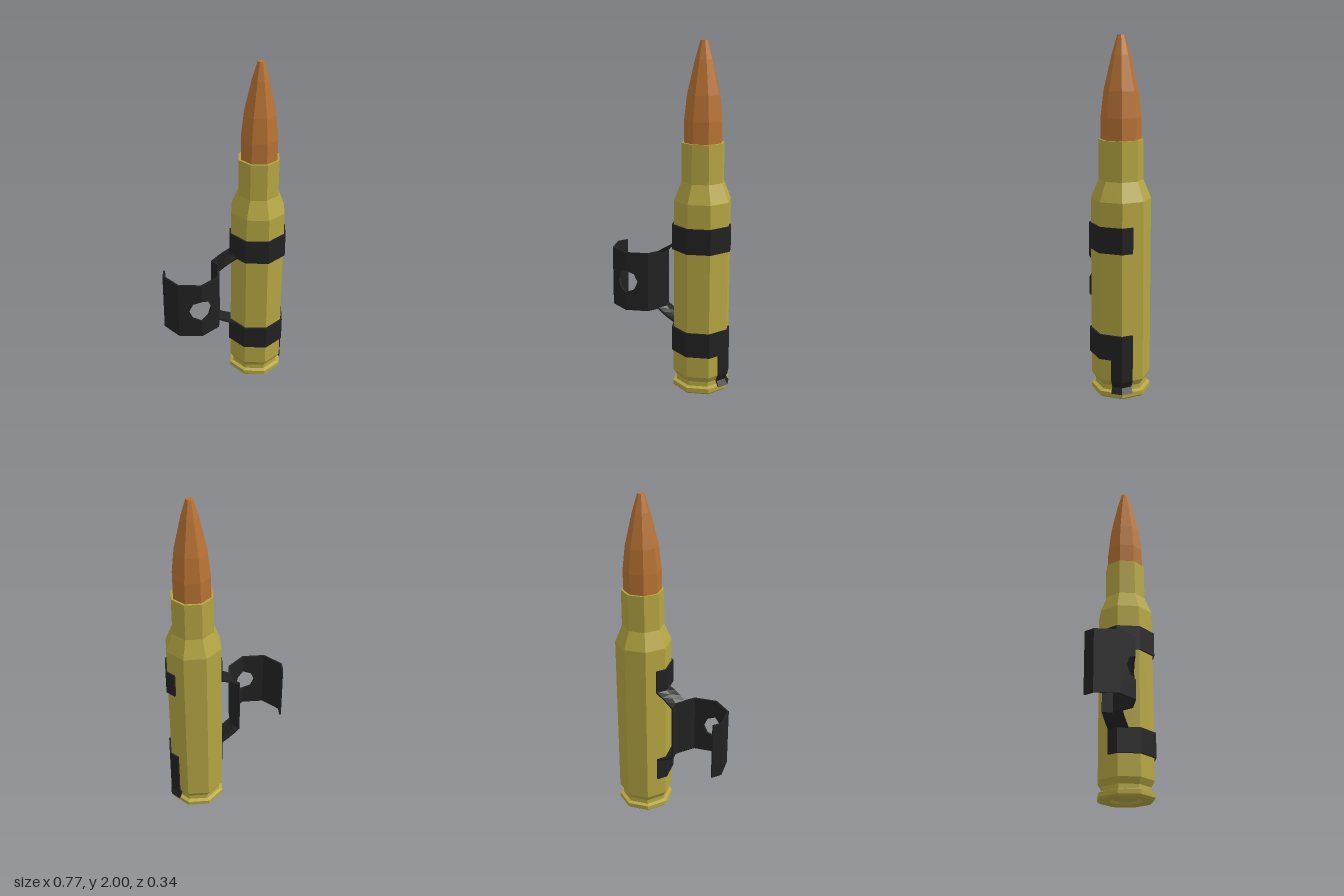
import * as THREE from 'three';

const CX = 0.207, LX = -0.208, CZ = -0.005; // cartridge axis, empty loop axis, shared depth
const OUT = 0.177, IN = 0.166;              // outer and inner radius of the clip metal

const flat = (name, color, side = THREE.FrontSide) => {
  const m = new THREE.MeshStandardMaterial({ color, flatShading: true, side });
  m.name = name;
  return m;
};

// Point on an octagon; u counts corners from the front (+z) towards +x
function oct(cx, r, u, y) {
  const k = Math.floor(u), f = u - k, a = k * Math.PI / 4, b = a + Math.PI / 4;
  return new THREE.Vector3(
    cx + r * ((1 - f) * Math.sin(a) + f * Math.sin(b)), y,
    CZ + r * ((1 - f) * Math.cos(a) + f * Math.cos(b)));
}

// Closed sheet-metal solid between two matching grids of points
function sheet(A, B) {
  const pos = [], n = A.length - 1, m = A[0].length - 1;
  const quad = (a, b, c, d) => [a, b, c, a, c, d].forEach(p => pos.push(p.x, p.y, p.z));
  for (let i = 0; i < n; i++) for (let j = 0; j < m; j++) {
    quad(A[i][j], A[i][j + 1], A[i + 1][j + 1], A[i + 1][j]);
    quad(B[i][j], B[i + 1][j], B[i + 1][j + 1], B[i][j + 1]);
  }
  for (let i = 0; i < n; i++) {
    quad(A[i][0], A[i + 1][0], B[i + 1][0], B[i][0]);
    quad(A[i + 1][m], A[i][m], B[i][m], B[i + 1][m]);
  }
  for (let j = 0; j < m; j++) {
    quad(A[0][j + 1], A[0][j], B[0][j], B[0][j + 1]);
    quad(A[n][j], A[n][j + 1], B[n][j + 1], B[n][j]);
  }
  const g = new THREE.BufferGeometry();
  g.setAttribute('position', new THREE.Float32BufferAttribute(pos, 3));
  g.computeVertexNormals();
  return g;
}

// Bent strip around an octagon between two heights
function band(cx, us, y0, y1) {
  const grid = r => [y0, y1].map(y => us.map(u => oct(cx, r, u, y)));
  return sheet(grid(OUT), grid(IN));
}

export function createModel() {
  const group = new THREE.Group();
  const brass = flat('brass', 0xb5a642);
  const copper = flat('copper', 0xb87333);
  const steel = flat('dark steel', 0x222222, THREE.DoubleSide);
  const add = (name, geometry, material) => {
    const mesh = new THREE.Mesh(geometry, material);
    mesh.name = name;
    group.add(mesh);
    return mesh;
  };
  const lathe = (name, profile, material) => {
    const pts = profile.map(p => new THREE.Vector2(...p));
    add(name, new THREE.LatheGeometry(pts, 8), material).position.set(CX, 0, CZ);
  };

  // Case with primer, rim, groove, shoulder and neck
  lathe('case', [[0, 0.012], [0.07, 0.012], [0.08, 0.022], [0.095, 0.003], [0.155, 0],
    [0.168, 0.012], [0.168, 0.037], [0.146, 0.044], [0.144, 0.07], [0.166, 0.105],
    [0.166, 1.125], [0.123, 1.23], [0.123, 1.45], [0.1, 1.45]], brass);
  lathe('bullet', [[0.11, 1.44], [0.11, 1.57], [0.094, 1.71], [0.05, 1.9],
    [0.02, 2], [0, 2]], copper);

  // Two bands holding the cartridge
  const wrap = [-2.48, -2, -1, 0, 1, 2, 2.48];
  add('upperBand', band(CX, wrap, 0.845, 0.99), steel);
  add('lowerBand', band(CX, wrap, 0.232, 0.377), steel);

  // Tail that drops from the lower band and hooks into the groove
  const tail = [[0.035, 0.168], [0.068, 0.148], [0.108, 0.166], [0.24, 0.166]];
  const tailGrid = t => tail.map(([y, r]) => [1.52, 2, 2.48].map(u => oct(CX, r + t, u, y)));
  add('tailHook', sheet(tailGrid(0.011), tailGrid(0)), steel);

  // Side walls of the empty loop
  const y0 = 0.435, y1 = 0.79, yc = 0.6125;
  add('loopRightWall', band(LX, [-2.48, -2, -1], y0, y1), steel);
  add('loopLeftWall', band(LX, [1, 2, 2.48], y0, y1), steel);

  // Folded front of the loop, each half with half of the hole
  const slope = Math.tan(Math.PI / 8), w = OUT * Math.SQRT1_2;
  for (const s of [-1, 1]) {
    const shape = new THREE.Shape();
    shape.moveTo(0, y0);
    shape.lineTo(s * w, y0);
    shape.lineTo(s * w, y1);
    shape.lineTo(0, y1);
    for (let k = 4; k >= 0; k--) {
      const a = (k - 2) * Math.PI / 4;
      shape.lineTo(s * 0.067 * Math.cos(a), yc + 0.067 * Math.sin(a));
    }
    const g = new THREE.ExtrudeGeometry(shape, { depth: OUT - IN, bevelEnabled: false });
    const p = g.attributes.position;
    for (let i = 0; i < p.count; i++) p.setZ(i, p.getZ(i) + IN - Math.abs(p.getX(i)) * slope);
    g.computeVertexNormals();
    add(s < 0 ? 'loopFrontRight' : 'loopFrontLeft', g, steel).position.set(LX, 0, CZ);
  }

  // Sloping bridges from the loop to each band, mirrored about the loop's middle
  const steps = [[0, 0.784], [0.3, 0.808], [0.6, 0.828], [1, 0.85]];
  for (const s of [-1, 1]) {
    const grid = t => steps.map(([f, y]) => [1.52, 2, 2.48].map(u =>
      oct(LX, 0.172, u, yc + s * (y + t - yc)).lerp(oct(CX, 0.172, -u, yc + s * (y + t - yc)), f)));
    const a = grid(0.006), b = grid(-0.006);
    add(s > 0 ? 'upperBridge' : 'lowerBridge', s > 0 ? sheet(a, b) : sheet(b, a), steel);
  }
  return group;
}
